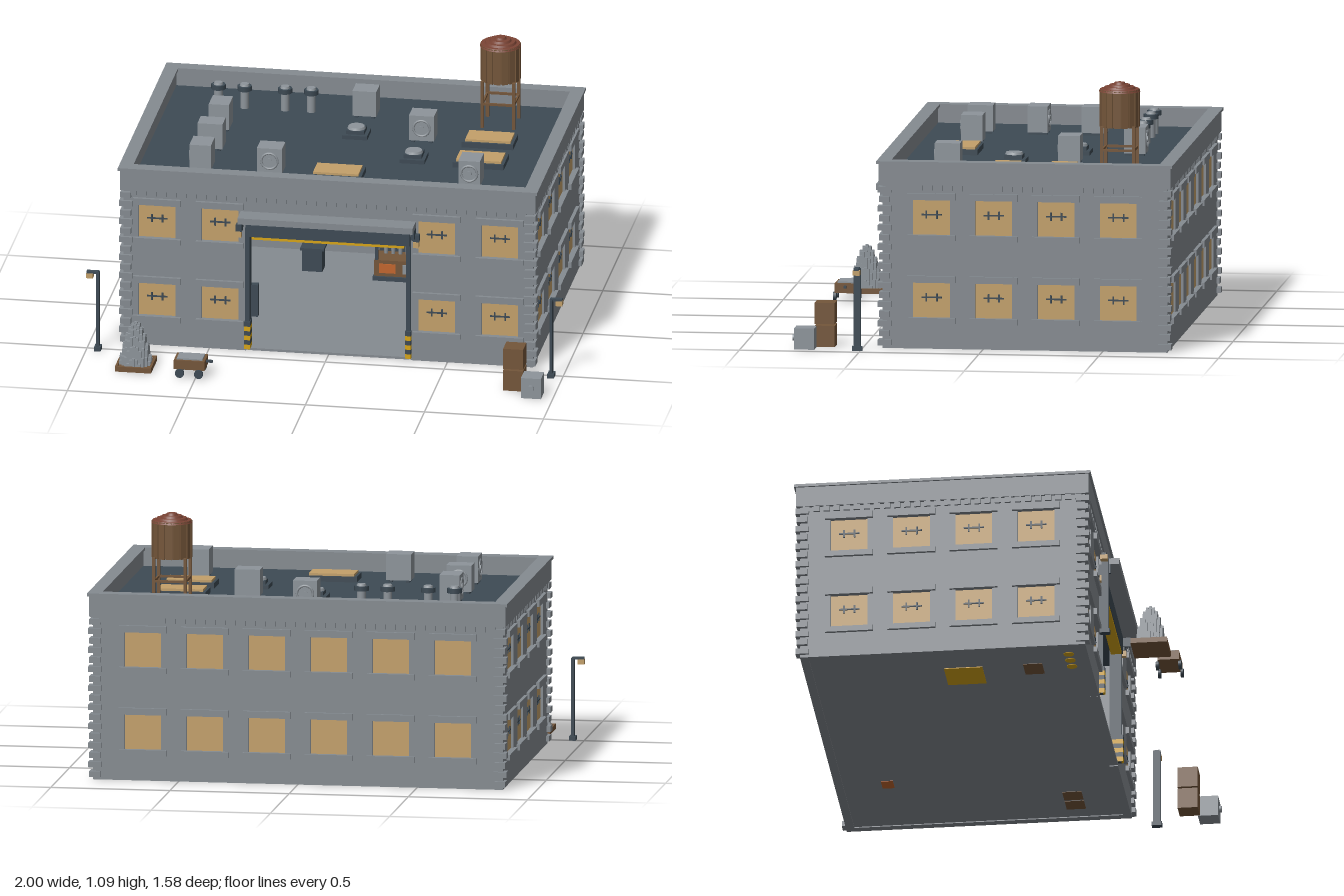
import * as THREE from 'three';

const mat = (name, color) => { const m = new THREE.MeshStandardMaterial({ color }); m.name = name; return m; };

export function createModel() {
  const M = {
    wall: mat('wall grey', 0x858b91), dark: mat('slate', 0x3d4a54), tan: mat('window tan', 0xc3a06a),
    brown: mat('wood brown', 0x74563a), red: mat('rust red', 0x7c4536), yellow: mat('safety yellow', 0xd6a416),
    orange: mat('ember orange', 0xc2662d), light: mat('metal grey', 0x8d949a),
  };
  const root = new THREE.Group();
  root.name = 'factory';
  const group = (name, x = 0, y = 0, z = 0, ry = 0, parent = root) => {
    const g = new THREE.Group();
    g.name = name; g.position.set(x, y, z); g.rotation.y = ry; parent.add(g);
    return g;
  };
  const add = (p, name, geo, m, x, y, z) => {
    const o = new THREE.Mesh(geo, m);
    o.name = name; o.position.set(x, y, z); p.add(o);
    return o;
  };
  // box given by its centre in x and z and its bottom and top heights
  const box = (p, name, m, x, z, w, d, y0, y1) =>
    add(p, name, new THREE.BoxGeometry(w, y1 - y0, d), m, x, (y0 + y1) / 2, z);
  const cyl = (p, name, m, x, z, r0, r1, y0, y1, n = 16) =>
    add(p, name, new THREE.CylinderGeometry(r1, r0, y1 - y0, n), m, x, (y0 + y1) / 2, z);

  // One wall in its own frame: outer face at z = 0, looking toward +z
  const T = 0.035, H = 0.7;
  function wall(name, x, z, ry, w, windows, door, bars) {
    const g = group(name, x, 0, z, ry), a = w / 2;
    const s = new THREE.Shape();
    s.moveTo(-a, 0);
    if (door) { s.lineTo(-0.345, 0); s.lineTo(-0.345, 0.575); s.lineTo(0.345, 0.575); s.lineTo(0.345, 0); }
    s.lineTo(a, 0); s.lineTo(a, H); s.lineTo(-a, H); s.closePath();
    for (const wx of windows) for (const y of [0.13, 0.476]) {
      const h = new THREE.Path();
      h.moveTo(wx - 0.077, y); h.lineTo(wx - 0.077, y + 0.147);
      h.lineTo(wx + 0.077, y + 0.147); h.lineTo(wx + 0.077, y); h.closePath();
      s.holes.push(h);
      box(g, 'windowPane', M.tan, wx, -0.016, 0.156, 0.012, y, y + 0.147);
      box(g, 'windowSill', M.wall, wx, 0.003, 0.2, 0.022, y - 0.024, y);
      box(g, 'windowLintel', M.wall, wx, 0.003, 0.2, 0.022, y + 0.147, y + 0.175);
      if (bars) {
        box(g, 'windowBar', M.dark, wx, -0.008, 0.085, 0.006, y + 0.081, y + 0.087);
        for (const sx of [-0.022, 0.022]) box(g, 'windowBar', M.dark, wx + sx, -0.008, 0.007, 0.006, y + 0.067, y + 0.101);
      }
    }
    const geo = new THREE.ExtrudeGeometry(s, { depth: T, bevelEnabled: false });
    add(g, 'wallPanel', geo, M.wall, 0, 0, -T);
    // row of small blocks below the parapet
    const n = Math.floor(w / 0.042);
    for (let i = 0; i < n; i++)
      box(g, 'corniceBlock', M.wall, (i - (n - 1) / 2) * 0.042, 0.004, 0.026, 0.012, 0.662, 0.685);
  }
  const zc = -0.175;
  wall('frontWall', 0, 0.42, 0, 1.72, [-0.72, -0.455, 0.455, 0.72], true, true);
  wall('backWall', 0, -0.77, Math.PI, 1.72, [-0.65, -0.39, -0.13, 0.13, 0.39, 0.65], false, false);
  for (const s of [1, -1])
    wall(s > 0 ? 'leftWall' : 'rightWall', s * 0.86, zc, s * Math.PI / 2, 1.19, [-0.39, -0.13, 0.13, 0.39], false, true);

  // Corner blocks
  const corners = group('cornerStones');
  for (const x of [-0.85, 0.85]) for (const z of [-0.76, 0.41]) for (let i = 0; i < 17; i++)
    box(corners, 'cornerStone', M.wall, x, z, i % 2 ? 0.055 : 0.045, i % 2 ? 0.045 : 0.055, 0.012 + i * 0.04, 0.036 + i * 0.04);

  // Floor, roof and parapet
  box(root, 'floor', M.wall, 0, -0.18, 1.66, 1.17, 0.004, 0.012);
  box(root, 'threshold', M.wall, 0, 0.4, 0.68, 0.04, 0.002, 0.012);
  box(root, 'roof', M.dark, 0, zc, 1.7, 1.17, 0.685, 0.705);
  const parapet = group('parapet');
  for (const [e, y0, y1] of [[0, 0.685, 0.772], [0.008, 0.772, 0.784]]) {
    for (const z of [0.414, -0.764]) box(parapet, 'parapetRail', M.wall, 0, z, 1.746 + 2 * e, 0.042 + 2 * e, y0, y1);
    for (const x of [-0.852, 0.852]) box(parapet, 'parapetRail', M.wall, x, zc, 0.042 + 2 * e, 1.138 - 2 * e, y0, y1);
  }

  // Loading door with canopy, striped posts and lamps
  const door = group('loadingDoor');
  box(door, 'canopy', M.wall, 0, 0.463, 0.736, 0.085, 0.59, 0.617);
  box(door, 'doorHead', M.dark, 0, 0.415, 0.69, 0.05, 0.512, 0.588);
  box(door, 'doorEdge', M.yellow, 0, 0.415, 0.64, 0.045, 0.5, 0.512);
  for (const s of [-1, 1]) {
    box(door, 'doorPost', M.dark, s * 0.338, 0.41, 0.018, 0.05, 0.012, 0.55);
    for (let i = 0; i < 6; i++)
      box(door, 'postStripe', i % 2 ? M.dark : M.yellow, s * 0.338, 0.415, 0.024, 0.056, 0.014 + i * 0.02, 0.034 + i * 0.02);
    box(door, 'canopyBracket', M.dark, s * 0.362, 0.445, 0.012, 0.05, 0.55, 0.59);
    box(door, 'doorLampMount', M.dark, s * 0.372, 0.433, 0.026, 0.026, 0.535, 0.565);
    box(door, 'doorLamp', M.tan, s * 0.372, 0.438, 0.022, 0.024, 0.51, 0.535);
  }
  box(door, 'controlPanel', M.dark, -0.318, 0.375, 0.034, 0.03, 0.14, 0.28);

  // Air conditioners: position, footprint and the way the fan faces
  for (const [x, z, w, d, ry] of [[-0.57, -0.295, 0.085, 0.105, -1], [-0.57, -0.06, 0.105, 0.085, 2], [-0.57, 0.18, 0.09, 0.105, -1],
    [-0.28, 0.18, 0.105, 0.09, 0], [0, -0.535, 0.1, 0.09, 2], [0.28, -0.295, 0.105, 0.09, 0], [0.56, 0.18, 0.09, 0.105, 0]]) {
    const g = group('airConditioner', x, 0, z);
    box(g, 'cabinet', M.light, 0, 0, w, d, 0.715, 0.825);
    for (const s of [-1, 1]) box(g, 'foot', M.dark, s * w * 0.35, 0, 0.015, d * 0.9, 0.705, 0.715);
    const f = group('fan', 0, 0.77, 0, ry * Math.PI / 2, g), depth = (ry % 2 ? w : d) / 2;
    const ring = new THREE.TorusGeometry(0.034, 0.005, 6, 18);
    add(f, 'fanRing', ring, M.light, 0, 0, depth);
    add(f, 'fanHub', new THREE.CylinderGeometry(0.012, 0.012, 0.01, 10).rotateX(Math.PI / 2), M.light, 0, 0, depth);
  }
  // Chimney pipes
  for (const x of [-0.62, -0.51, -0.34, -0.23]) {
    const g = group('chimneyPipe', x, 0, -0.535);
    cyl(g, 'pipe', M.light, 0, 0, 0.018, 0.018, 0.7, 0.785);
    cyl(g, 'cap', M.dark, 0, 0, 0.031, 0.031, 0.783, 0.803, 8);
    cyl(g, 'capTop', M.light, 0, 0, 0.021, 0.018, 0.803, 0.812, 8);
  }
  // Skylights and round vents
  for (const [x, z] of [[0.56, -0.295], [0.56, -0.06], [0, 0.18]]) {
    const g = group('skylight', x, 0, z);
    box(g, 'frame', M.dark, 0, 0, 0.215, 0.13, 0.7, 0.728);
    box(g, 'glass', M.tan, 0, 0, 0.19, 0.108, 0.728, 0.738);
  }
  for (const [x, z] of [[0, -0.295], [0.28, -0.06]]) {
    const g = group('roofVent', x, 0, z);
    box(g, 'curb', M.dark, 0, 0, 0.105, 0.105, 0.7, 0.722);
    box(g, 'collar', M.dark, 0, 0, 0.075, 0.075, 0.722, 0.738);
    cyl(g, 'ventCap', M.light, 0, 0, 0.038, 0.034, 0.738, 0.748);
  }

  // Water tower
  const tower = group('waterTower', 0.565, 0, -0.535);
  for (const x of [-0.066, 0.066]) for (const z of [-0.066, 0.066]) box(tower, 'leg', M.brown, x, z, 0.013, 0.013, 0.7, 0.91);
  for (const s of [-1, 1]) {
    box(tower, 'brace', M.brown, 0, s * 0.066, 0.13, 0.008, 0.805, 0.815);
    box(tower, 'brace', M.brown, s * 0.066, 0, 0.008, 0.13, 0.805, 0.815);
  }
  cyl(tower, 'tank', M.brown, 0, 0, 0.08, 0.08, 0.905, 1.055, 24);
  for (let i = 0; i < 16; i++) {
    const a = i * Math.PI / 8;
    box(tower, 'stave', M.brown, Math.sin(a) * 0.079, Math.cos(a) * 0.079, 0.026, 0.008, 0.903, 1.058).rotation.y = a;
  }
  [0.086, 0.067, 0.047, 0.026].forEach((r, i) =>
    cyl(tower, 'roofTier', M.red, 0, 0, r, r - 0.005, 1.05 + i * 0.009, 1.061 + i * 0.009, 24));

  // Street lamps
  for (const s of [-1, 1]) {
    const g = group('streetLamp', s * 0.952, 0, 0.513);
    box(g, 'base', M.dark, 0, 0, 0.028, 0.042, 0, 0.018);
    box(g, 'pole', M.dark, 0, 0, 0.012, 0.03, 0.018, 0.345);
    box(g, 'arm', M.dark, s * 0.022, 0, 0.05, 0.02, 0.339, 0.349);
    box(g, 'lampHead', M.tan, s * 0.034, 0, 0.028, 0.03, 0.32, 0.34);
  }

  // Rubble heap of small blocks on a wooden tray
  const heap = group('rubbleHeap', -0.765, 0, 0.682);
  box(heap, 'tray', M.brown, 0, 0, 0.15, 0.15, 0.003, 0.018);
  for (const s of [-1, 1]) {
    box(heap, 'trayRim', M.brown, s * 0.071, 0, 0.01, 0.152, 0.003, 0.025);
    box(heap, 'trayRim', M.brown, 0, s * 0.071, 0.132, 0.01, 0.003, 0.025);
  }
  for (let i = -5; i <= 5; i++) for (let j = -5; j <= 5; j++) {
    const q = (i * i + j * j) / 30;
    if (q < 1) box(heap, 'stone', M.light, i * 0.012, j * 0.012, 0.0115, 0.0115, 0.015, 0.03 + 0.17 * (1 - q));
  }

  // Hand cart
  const cart = group('handCart', -0.525, 0, 0.735);
  box(cart, 'tub', M.brown, 0, 0, 0.13, 0.09, 0.038, 0.078);
  box(cart, 'load', M.light, 0, 0, 0.108, 0.07, 0.078, 0.084);
  box(cart, 'handle', M.dark, 0.077, 0, 0.03, 0.01, 0.06, 0.07);
  for (const x of [-0.04, 0.04]) for (const z of [-0.047, 0.047])
    add(cart, 'wheel', new THREE.CylinderGeometry(0.019, 0.019, 0.012, 14).rotateX(Math.PI / 2), M.dark, x, 0.022, z);

  // Crates outside
  const crate = (name, m, x, z, y, w = 0.084) => {
    const g = group(name, x, y, z);
    box(g, 'crateBody', m, 0, 0, w, w, 0, w + 0.005);
    return g;
  };
  crate('woodCrate', M.brown, 0.823, 0.66, 0);
  crate('woodCrate', M.brown, 0.823, 0.66, 0.096);
  const safe = crate('metalCrate', M.light, 0.91, 0.735, 0);
  add(safe, 'dial', new THREE.CylinderGeometry(0.014, 0.014, 0.012, 12).rotateX(Math.PI / 2), M.light, 0, 0.045, 0.047);

  // Furnace at the back of the hall
  const furnace = group('furnace', 0.15, 0, -0.5);
  box(furnace, 'base', M.dark, 0, 0, 0.21, 0.14, 0.012, 0.03);
  box(furnace, 'body', M.brown, 0, 0, 0.2, 0.12, 0.03, 0.1);
  box(furnace, 'fire', M.orange, -0.045, 0.061, 0.07, 0.006, 0.045, 0.085);
  box(furnace, 'hatch', M.light, 0.05, 0.061, 0.06, 0.006, 0.045, 0.085);
  for (const x of [-0.09, 0.09]) for (const z of [-0.055, 0.055]) box(furnace, 'post', M.dark, x, z, 0.012, 0.012, 0.1, 0.23);
  box(furnace, 'hood', M.dark, 0, 0, 0.2, 0.14, 0.225, 0.25);
  box(furnace, 'backPlate', M.dark, 0, -0.055, 0.18, 0.01, 0.1, 0.23);
  for (let i = -2; i <= 2; i++) cyl(furnace, 'piston', M.light, i * 0.03, 0, 0.008, 0.012, 0.11, 0.225, 8);

  // Cone press on its yellow plate
  const press = group('conePress', -0.6, 0, -0.11);
  box(press, 'plate', M.yellow, 0, 0, 0.16, 0.16, 0.001, 0.035);
  cyl(press, 'cone', M.dark, 0, 0, 0.075, 0.025, 0.035, 0.14, 8);
  cyl(press, 'coneTop', M.red, 0, 0, 0.03, 0.02, 0.14, 0.165, 8);

  // Other things in the hall
  const hall = group('hallEquipment');
  box(hall, 'bin', M.dark, -0.215, -0.5, 0.085, 0.07, 0.022, 0.115);
  box(hall, 'binLid', M.dark, -0.215, -0.5, 0.1, 0.08, 0.115, 0.125);
  cyl(hall, 'hangingHood', M.dark, 0, -0.15, 0.04, 0.08, 0.452, 0.5, 8);
  cyl(hall, 'hangingRod', M.dark, 0, -0.15, 0.01, 0.01, 0.5, 0.69, 8);
  box(hall, 'pallet', M.brown, -0.635, 0.18, 0.1, 0.08, 0.002, 0.03);
  box(hall, 'emberBox', M.orange, 0.425, -0.55, 0.07, 0.05, 0.002, 0.08);
  for (const [x, z] of [[0.71, 0.2], [0.62, 0.2]]) box(hall, 'storedCrate', M.brown, x, z, 0.08, 0.08, 0.002, 0.09);
  for (const x of [-0.76, -0.7, -0.64]) cyl(hall, 'barrel', M.yellow, x, 0.34, 0.022, 0.022, 0.002, 0.07, 12);
  return root;
}
